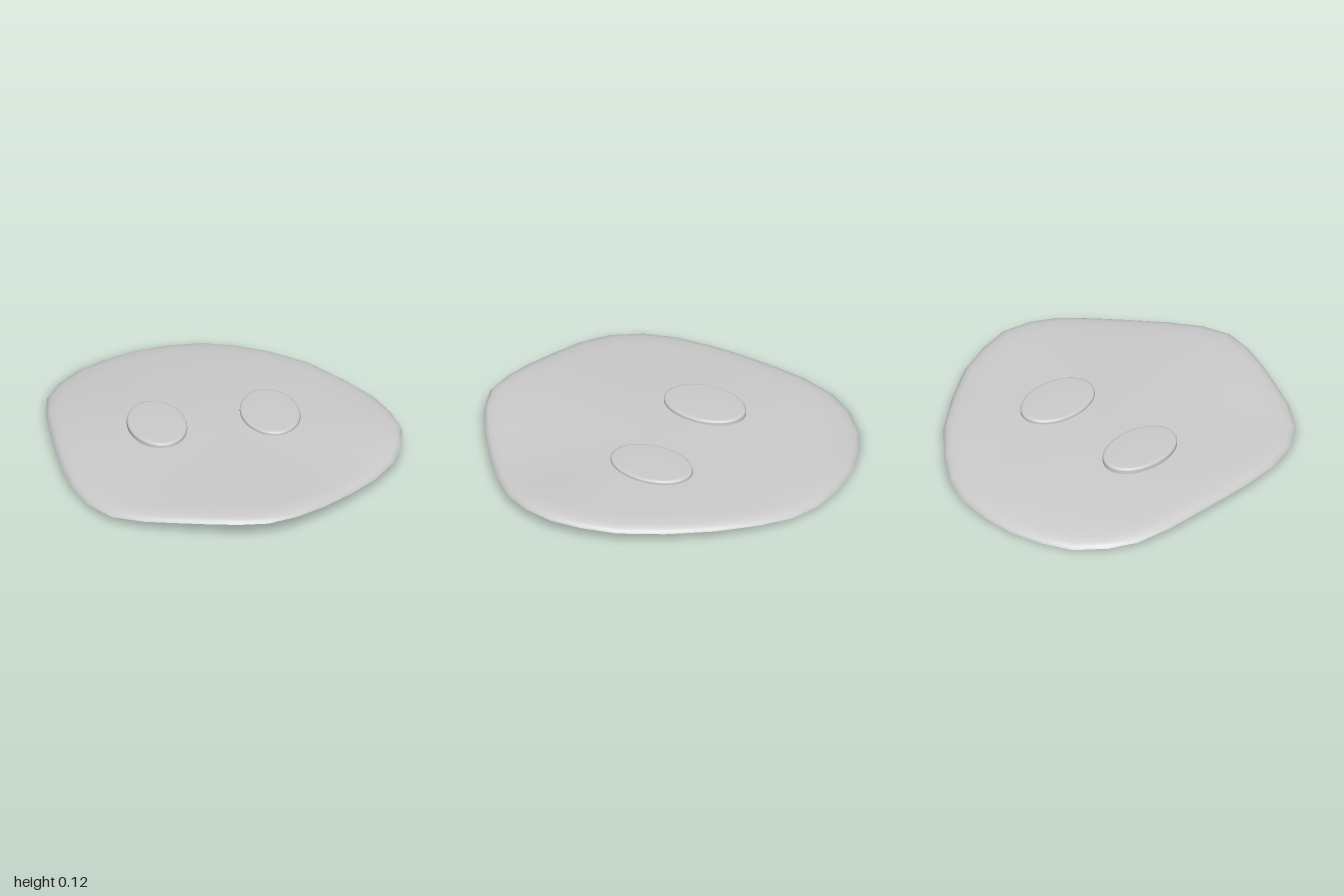
import * as THREE from 'three';

// Rim of the slab as x, y, z, clockwise from the back when seen from above
const RIM = [
  [-0.11, 0.015, -1], [0.07, 0.02, -0.98], [0.24, 0.025, -0.91], [0.4, 0.04, -0.79],
  [0.57, 0.055, -0.62], [0.72, 0.06, -0.4], [0.84, 0.068, -0.18], [0.895, 0.075, 0.01],
  [0.915, 0.08, 0.18], [0.88, 0.075, 0.34], [0.81, 0.065, 0.48], [0.685, 0.055, 0.615],
  [0.53, 0.058, 0.74], [0.36, 0.068, 0.86], [0.19, 0.08, 0.955], [0.03, 0.085, 1],
  [-0.12, 0.083, 0.98], [-0.27, 0.077, 0.935], [-0.435, 0.066, 0.87], [-0.6, 0.053, 0.8],
  [-0.755, 0.038, 0.695], [-0.85, 0.036, 0.545], [-0.9, 0.038, 0.365], [-0.915, 0.04, 0.175],
  [-0.915, 0.042, 0], [-0.905, 0.04, -0.2], [-0.89, 0.033, -0.4], [-0.845, 0.02, -0.595],
  [-0.76, 0.01, -0.735], [-0.625, 0, -0.865], [-0.47, 0.003, -0.94], [-0.295, 0.008, -0.99],
].map((p) => new THREE.Vector3(...p));
const N = RIM.length;
const rim = (i) => RIM[i % N];

function surface(positions, index) {
  const g = new THREE.BufferGeometry();
  g.setAttribute('position', new THREE.Float32BufferAttribute(positions, 3));
  g.setIndex(index);
  g.computeVertexNormals();
  return g;
}

// Upper skin: concentric rings from the middle, rounding over at the rim
function topGeometry() {
  const scales = [0, 0.2, 0.4, 0.6, 0.75, 0.87, 0.94, 0.975, 0.992, 1];
  const lift = [0.034, 0.034, 0.034, 0.034, 0.034, 0.034, 0.03, 0.022, 0.012, 0];
  const pos = [], idx = [];
  scales.forEach((s, j) => RIM.forEach((p) => {
    const y = THREE.MathUtils.lerp(0.104, p.y + lift[j], s * s);
    pos.push(p.x * s, y, p.z * s);
  }));
  for (let j = 0; j < scales.length - 1; j++) {
    for (let i = 0; i < N; i++) {
      const k = (i + 1) % N;
      const a = j * N + i, b = a + N, c = j * N + k, d = c + N;
      if (j > 0) idx.push(a, c, b);
      idx.push(c, d, b);
    }
  }
  return surface(pos, idx);
}

// One half of the underside, ruled from a straight diagonal fold to the rim
function undersideGeometry(from, to) {
  const fold = new THREE.Line3(rim(from), rim(to));
  const pos = [], idx = [];
  const steps = 6, q = new THREE.Vector3();
  for (let i = from; i <= to; i++) {
    const p = rim(i);
    const foot = fold.closestPointToPoint(p, true, new THREE.Vector3());
    for (let j = 0; j <= steps; j++) pos.push(...q.lerpVectors(foot, p, j / steps).toArray());
  }
  for (let i = 0; i < to - from; i++) {
    for (let j = 0; j < steps; j++) {
      const a = i * (steps + 1) + j, c = a + steps + 1;
      idx.push(a, a + 1, c, c, a + 1, c + 1);
    }
  }
  return surface(pos, idx);
}

// Oval pad with a softly rounded top edge
function padGeometry() {
  const profile = [
    [1, 0.075], [1, 0.112], [0.985, 0.118], [0.95, 0.122], [0.9, 0.124], [0.6, 0.125], [0, 0.125],
  ].map(([r, y]) => new THREE.Vector2(r, y));
  return new THREE.LatheGeometry(profile, 48).scale(0.157, 1, 0.232);
}

export function createModel() {
  const model = new THREE.Group();
  model.name = 'ovalPlate';
  const material = new THREE.MeshStandardMaterial({ color: 0xcccccc, side: THREE.DoubleSide });
  const add = (name, geometry) => {
    const mesh = new THREE.Mesh(geometry, material);
    mesh.name = name;
    model.add(mesh);
    return mesh;
  };

  add('plateTop', topGeometry());
  add('frontUnderside', undersideGeometry(4, 21));
  add('backUnderside', undersideGeometry(21, 4 + N));

  const pad = padGeometry();
  add('rightPad', pad).position.set(-0.355, 0, -0.08);
  add('leftPad', pad).position.set(0.255, 0, -0.08);
  return model;
}
